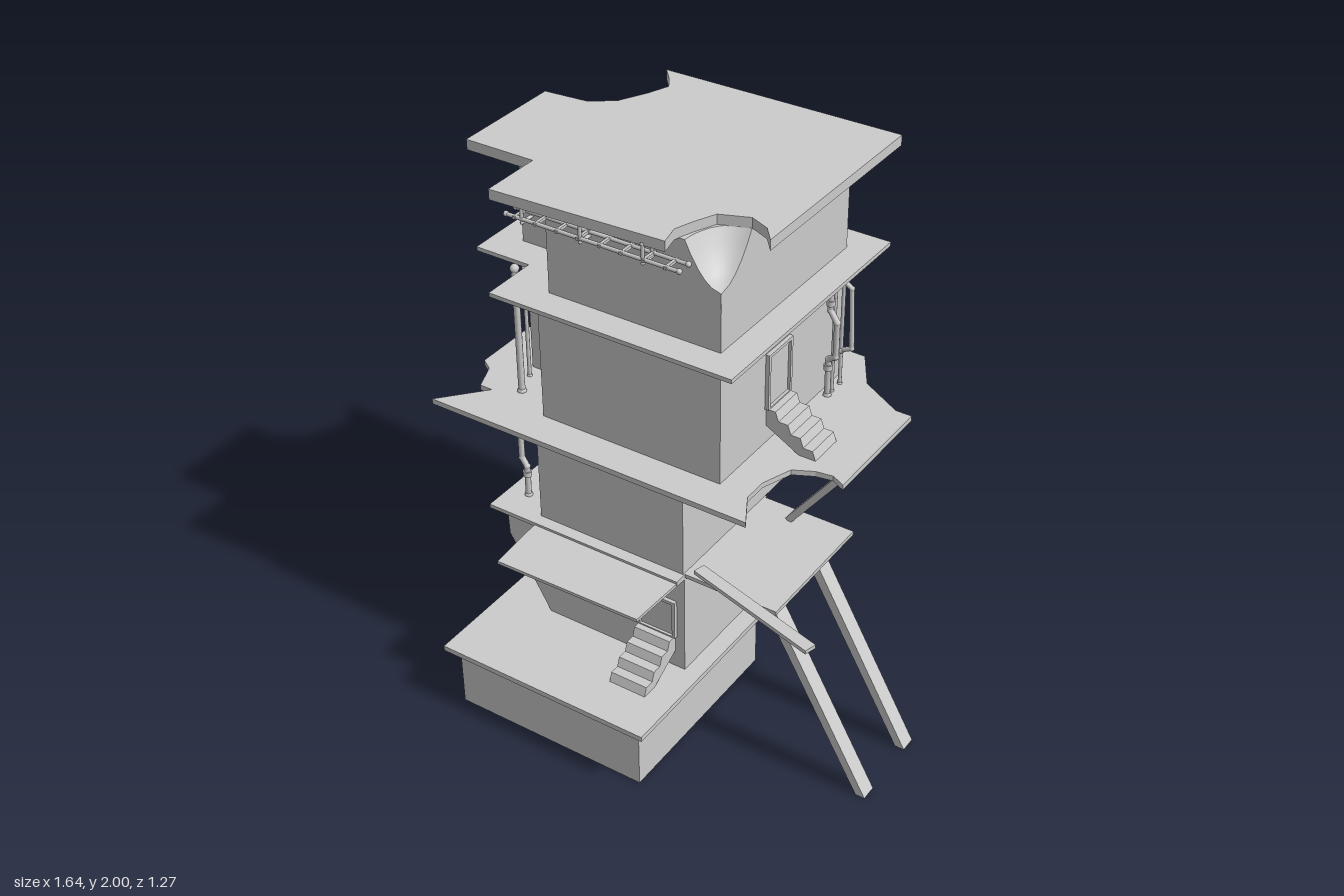
import * as THREE from 'three';
import { toCreasedNormals } from 'three/addons/utils/BufferGeometryUtils.js';

const V = (x, y, z) => new THREE.Vector3(x, y, z);

export function createModel() {
  const tower = new THREE.Group();
  tower.name = 'tower';
  const grey = new THREE.MeshStandardMaterial({ color: 0xcccccc });
  const greyBoth = new THREE.MeshStandardMaterial({ color: 0xcccccc, side: THREE.DoubleSide });

  const add = (name, geometry, parent = tower, material = grey) => {
    const mesh = new THREE.Mesh(geometry, material);
    mesh.name = name;
    parent.add(mesh);
    return mesh;
  };

  // Block given by its x, y and z extents
  const block = (name, x0, x1, y0, y1, z0, z1, parent) =>
    add(name, new THREE.BoxGeometry(x1 - x0, y1 - y0, z1 - z0), parent)
      .position.set((x0 + x1) / 2, (y0 + y1) / 2, (z0 + z1) / 2);

  // Flat plate or straight wall from an [x, z] outline
  const plate = (name, outline, y0, y1) => {
    const shape = new THREE.Shape(outline.map(([x, z]) => new THREE.Vector2(x, -z)));
    const g = new THREE.ExtrudeGeometry(shape, { depth: y1 - y0, bevelEnabled: false });
    add(name, g.rotateX(-Math.PI / 2).translate(0, y0, 0));
  };

  // Skin through stacked outlines, closed on top
  const loft = (name, levels) => {
    const n = levels[0].outline.length, pos = [], idx = [];
    levels.forEach(({ y, outline }) => outline.forEach(([x, z]) => pos.push(x, y, z)));
    for (let k = 0; k < levels.length - 1; k++)
      for (let i = 0; i < n; i++) {
        const a = k * n + i, b = k * n + (i + 1) % n;
        idx.push(a, a + n, b, b, a + n, b + n);
      }
    const top = levels.at(-1).outline.map(([x, z]) => new THREE.Vector2(x, -z));
    const base = (levels.length - 1) * n;
    THREE.ShapeUtils.triangulateShape(top, []).forEach((f) => {
      const [p, q, r] = f.map((i) => top[i]);
      const ccw = q.clone().sub(p).cross(r.clone().sub(p)) > 0;
      idx.push(...(ccw ? f : [f[0], f[2], f[1]]).map((i) => base + i));
    });
    const g = new THREE.BufferGeometry();
    g.setAttribute('position', new THREE.Float32BufferAttribute(pos, 3));
    g.setIndex(idx);
    add(name, toCreasedNormals(g, 0.6), tower, greyBoth);
  };

  // Square beam between two points
  const beam = (name, a, b, w, d) => {
    const m = add(name, new THREE.BoxGeometry(w, d, a.distanceTo(b)));
    m.position.copy(a).add(b).multiplyScalar(0.5);
    m.lookAt(b);
  };

  // Pipe with straight runs, plus a collar at each end
  const pipe = (name, points, r = 0.009) => {
    const group = new THREE.Group();
    group.name = name;
    tower.add(group);
    const path = new THREE.CurvePath();
    for (let i = 1; i < points.length; i++) path.add(new THREE.LineCurve3(points[i - 1], points[i]));
    path.curves.forEach((c) => add('pipeRun', new THREE.TubeGeometry(c, 1, r, 8), group));
    points.forEach((p, i) => {
      const end = i === 0 || i === points.length - 1;
      add('pipeJoint', new THREE.SphereGeometry(end ? r * 1.4 : r * 1.15, 8, 6), group).position.copy(p);
    });
  };

  // Upright pipe with an offset bend in the middle
  const bentPipe = (name, x, z, y0, y1, dx, dz) => {
    const h = y1 - y0, lo = y0 + h * 0.3, hi = y0 + h * 0.7;
    pipe(name, [V(x, y0, z), V(x, lo, z), V(x + dx, lo + 0.03, z + dz),
      V(x + dx, hi - 0.03, z + dz), V(x, hi, z), V(x, y1, z)], 0.011);
    [lo - 0.03, hi + 0.03].forEach((y) =>
      add('pipeCollar', new THREE.CylinderGeometry(0.016, 0.016, 0.02, 10)).position.set(x, y, z));
  };

  // Door frame with a leaning stair, built facing +z
  const entrance = (name, width, sill, height, run) => {
    const group = new THREE.Group();
    group.name = name;
    const t = 0.012, w = width / 2;
    [-1, 1].forEach((s) =>
      block('doorJamb', s * w - t / 2, s * w + t / 2, sill, sill + height, -0.01, 0.012, group));
    block('doorHead', -w, w, sill + height - t, sill + height, -0.01, 0.012, group);
    block('doorSill', -w, w, sill - 0.005, sill + 0.005, -0.01, 0.012, group);
    block('doorLeaf', -w, w, sill, sill + height, -0.01, 0.002, group);
    const steps = 4, rise = sill / steps, tread = run / steps, s = new THREE.Shape();
    s.moveTo(0, sill);
    for (let i = 1; i <= steps; i++) {
      s.lineTo(i * tread - 0.012, sill - (i - 1) * rise);
      s.lineTo(i * tread, sill - i * rise);
    }
    s.lineTo(run - 0.065, 0);
    s.lineTo(0, sill - 0.065);
    const g = new THREE.ExtrudeGeometry(s, { depth: width, bevelEnabled: false });
    add('stair', g.translate(0, 0, -w).rotateY(-Math.PI / 2), group);
    tower.add(group);
    return group;
  };

  // Base and its slab
  block('base', -0.62, 0.14, 0, 0.245, -0.155, 0.595);
  block('baseSlab', -0.66, 0.18, 0.245, 0.265, -0.2, 0.635);

  // Flared first storey
  loft('firstStorey', [[0.265, -0.46, -0.13], [0.55, -0.625, -0.13], [0.67, -0.63, -0.23]]
    .map(([y, x, z]) => ({ y, outline: [[x, z], [0.115, z], [0.115, 0.275], [x, 0.275]] })));
  block('firstFloorSlab', -0.67, 0.115, 0.67, 0.685, -0.25, 0.32);
  block('sidePlatform', 0.115, 0.47, 0.67, 0.685, -0.24, 0.27);
  plate('frontCanopy', [[-0.48, 0.27], [0.115, 0.27], [0.105, 0.54], [-0.46, 0.548]], 0.664, 0.676);
  beam('loosePlank', V(0.155, 0.708, 0.247), V(0.67, 0.708, 0.39), 0.045, 0.015);

  // Second storey
  block('secondStorey', -0.48, 0.11, 0.685, 1.095, -0.51, 0.275);

  // Broken terrace
  plate('terrace', [[-0.825, -0.635], [0.27, -0.635], [0.36, -0.49], [0.52, -0.4], [0.58, -0.4],
    [0.58, 0.06], [0.53, 0.035], [0.47, 0.045], [0.4, 0.08], [0.36, 0.19], [0.36, 0.28], [0.425, 0.395],
    [-0.825, 0.395], [-0.69, 0.24], [-0.74, 0.24], [-0.78, 0.14], [-0.825, 0.11]], 1.095, 1.115);

  // Third storey, with a notched corner, and its slab
  plate('thirdStorey', [[-0.66, -0.5], [0.25, -0.5], [0.25, 0.27], [-0.45, 0.27], [-0.45, 0.05],
    [-0.66, 0.05]], 1.115, 1.595);
  plate('thirdFloorSlab', [[-0.775, -0.61], [0.355, -0.61], [0.355, 0.375], [-0.56, 0.375],
    [-0.56, 0.165], [-0.775, 0.165]], 1.595, 1.61);

  // Top storey with two corners scooped out towards the roof
  const scoop = (cx, cz, rx, rz, y, y0) => {
    const r = Math.max(0.002, Math.sqrt(Math.max(0, (y - y0) / (1.965 - y0))));
    return Array.from({ length: 11 }, (_, i) => {
      const a = (i / 10) * Math.PI / 2;
      return [cx + rx * r * Math.sin(a), cz + rz * r * Math.cos(a)];
    });
  };
  loft('topStorey', [1.61, 1.63, 1.64, 1.67, 1.72, 1.77, 1.82, 1.83, 1.85, 1.88, 1.92, 1.965]
    .map((y) => ({ y, outline: [
      ...scoop(-0.67, -0.5, 0.2, 0.23, y, 1.63), [0.25, -0.5],
      ...scoop(0.25, 0.27, -0.13, -0.17, y, 1.82), [-0.4, 0.27], [-0.4, 0.05], [-0.67, 0.05]] })));

  // Broken roof
  plate('roof', [[-0.54, -0.615], [0.365, -0.622], [0.365, 0.185], [0.32, 0.13], [0.25, 0.1],
    [0.15, 0.14], [0.115, 0.22], [0.093, 0.285], [0.11, 0.36], [0.15, 0.375], [0.365, 0.375], [0.365, 0.39],
    [-0.52, 0.39], [-0.52, 0.165], [-0.785, 0.165], [-0.785, -0.255], [-0.62, -0.27], [-0.54, -0.33],
    [-0.49, -0.43], [-0.46, -0.51], [-0.5, -0.57]].filter(([x, z]) => !(x > 0.14 && z > 0.3)), 1.963, 2);

  // Supports
  [0.21, -0.07].forEach((z) => {
    const g = new THREE.ExtrudeGeometry(new THREE.Shape([[0.4, 0.67], [0.785, 0], [0.82, 0], [0.44, 0.67]]
      .map(([x, y]) => new THREE.Vector2(x, y))), { depth: 0.06, bevelEnabled: false });
    add('platformLeg', g.translate(0, 0, z - 0.03));
  });
  beam('terraceStrut', V(0.25, 0.685, -0.19), V(0.565, 1.1, -0.19), 0.045, 0.025);
  [-0.04, -0.37].forEach((x) =>
    beam('rearStrut', V(x, 0.29, -0.125), V(x, 0.685, -0.43), 0.045, 0.025));

  // Doors with stairs
  entrance('frontEntrance', 0.145, 0.135, 0.155, 0.19).position.set(0.005, 0.265, 0.277);
  const side = entrance('sideEntrance', 0.135, 0.135, 0.21, 0.19);
  side.position.set(0.252, 1.115, -0.07);
  side.rotation.y = Math.PI / 2;

  // Pipes
  bentPipe('lowerPipe', -0.59, 0.2, 0.685, 1.095, -0.02, 0);
  bentPipe('sidePipe', 0.28, -0.355, 1.115, 1.595, 0.035, 0.015);
  [-0.385, -0.44].forEach((z) => pipe('sidePipe', [V(0.28, 1.115, z), V(0.28, 1.595, z)], 0.007));
  pipe('sideBypass', [V(0.28, 1.25, -0.44), V(0.32, 1.27, -0.44), V(0.31, 1.5, -0.44), V(0.28, 1.52, -0.44)]);
  [[-0.6, 0.19, 0.012], [-0.635, 0.1, 0.007], [-0.46, 0.1, 0.007]].forEach(([x, z, r]) =>
    pipe('cornerPipe', [V(x, 1.115, z), V(x, 1.595, z)], r));
  add('valveWheel', new THREE.TorusGeometry(0.02, 0.005, 6, 14)).position.set(-0.48, 1.51, 0.1);
  bentPipe('rearPipe', -0.45, -0.55, 1.61, 1.965, 0, -0.025);
  [-0.2, -0.28].forEach((x) => pipe('rearPipe', [V(x, 1.61, -0.53), V(x, 1.64, -0.55),
    V(x, 1.93, -0.55), V(x, 1.965, -0.57)], 0.008));
  [-0.46, -0.51].forEach((z, i) => pipe('hangingPipe', [V(-0.77 + i * 0.08, 1.095, z),
    V(-0.77 + i * 0.08, 1.04, z), V(-0.65, 1.03, z), V(-0.65, 1.095, z)], 0.007));

  // Rack of pipes under the front eave
  [0.31, 0.36].forEach((z) => pipe('eavePipe', [V(-0.48, 1.913, z), V(0.16, 1.913, z)], 0.007));
  for (let i = 0; i < 8; i++)
    block('eaveRung', -0.45 + i * 0.08, -0.44 + i * 0.08, 1.908, 1.918, 0.3, 0.37);
  [-0.42, -0.2, 0.03].forEach((x) => pipe('eaveHanger',
    [V(x, 1.965, 0.31), V(x, 1.9, 0.31), V(x, 1.9, 0.36), V(x, 1.965, 0.36)], 0.006));

  return tower;
}
